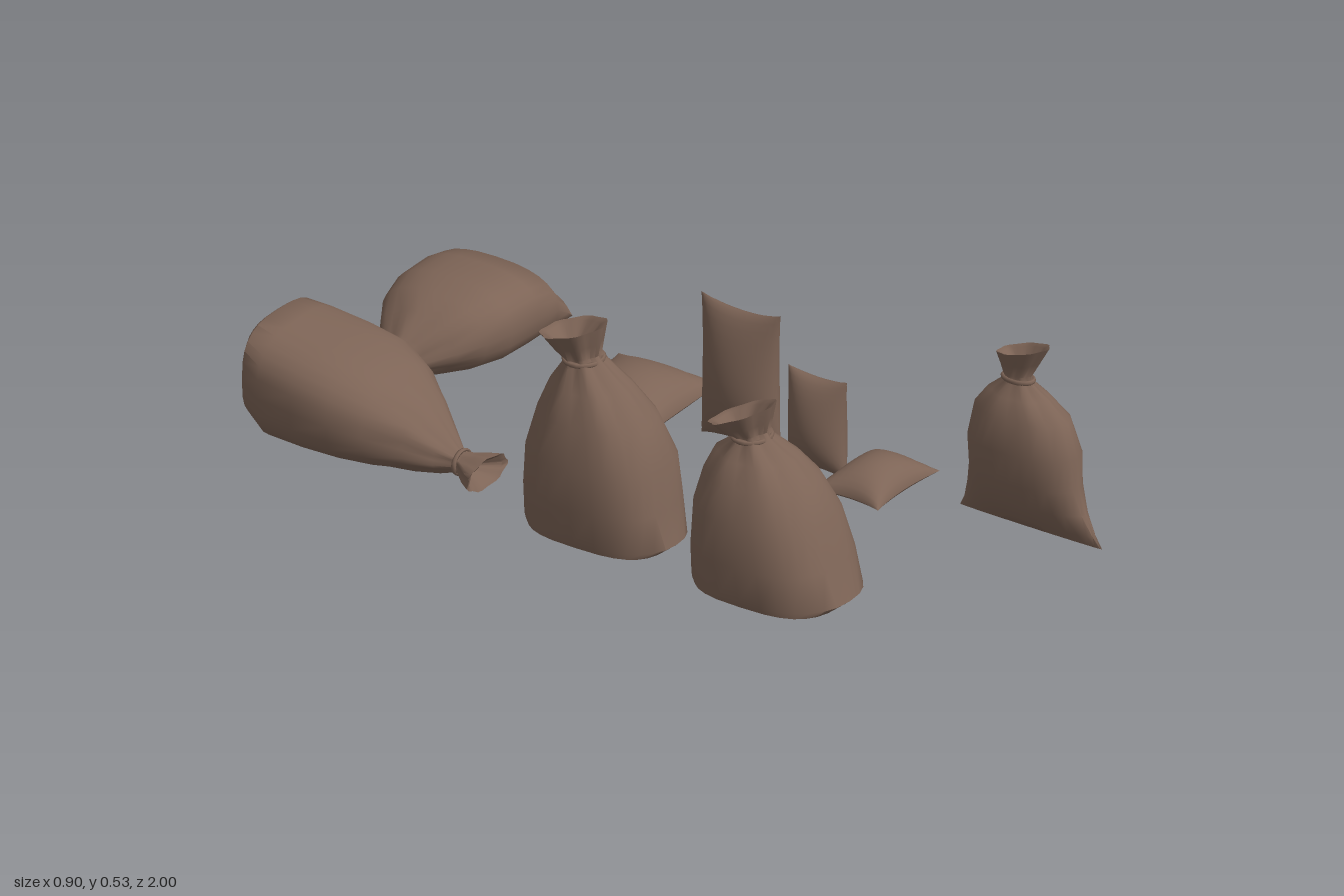
import * as THREE from 'three';
import { toCreasedNormals } from 'three/addons/utils/BufferGeometryUtils.js';

const burlap = new THREE.MeshStandardMaterial({ color: 0x7d6456 });
burlap.name = 'brown burlap';

const SIDES = 28;

// Axis placements: u and w lie across the sack, t runs from its base to its mouth
const upright = { at: (u, t, w) => [u, t, w], flip: false };
const lyingToFront = { at: (u, t, w) => [u, Math.max(0, w), t], flip: true };
const lyingToRight = { at: (u, t, w) => [-t, Math.max(0, w), u], flip: true };

// Tied sack lofted through rings [t, centreU, centreW, radiusU, radiusW, squareness, tilt, pleat]
function sack(name, place, rings) {
  const first = rings[0], last = rings[rings.length - 1];
  const shrunk = (r, k, dt) => [r[0] - dt, r[1], r[2], r[3] * k, r[4] * k, r[5], r[6], r[7]];
  const all = [
    shrunk(first, 0, 0), ...rings,            // closed base
    shrunk(last, 0.8, 0.006), shrunk(last, 0.35, 0.045), shrunk(last, 0, 0.05), // hollow mouth
  ];
  const pos = [], index = [];
  for (const [t, cu, cw, ru, rw, n = 2, tilt = 0, pleat = 0] of all) {
    for (let j = 0; j < SIDES; j++) {
      const a = (j / SIDES) * Math.PI * 2, c = Math.cos(a), s = Math.sin(a);
      const k = 1 + pleat * Math.cos(7 * a + 1);
      const du = Math.sign(c) * Math.abs(c) ** (2 / n) * ru * k;
      const dw = Math.sign(s) * Math.abs(s) ** (2 / n) * rw * k;
      pos.push(...place.at(cu + du, t + tilt * dw, cw + dw));
    }
  }
  for (let i = 0; i < all.length - 1; i++) {
    for (let j = 0; j < SIDES; j++) {
      const a = i * SIDES + j, b = i * SIDES + ((j + 1) % SIDES), c = a + SIDES, d = b + SIDES;
      if (place.flip) index.push(a, b, c, b, d, c);
      else index.push(a, c, b, b, c, d);
    }
  }
  const geo = new THREE.BufferGeometry();
  geo.setAttribute('position', new THREE.Float32BufferAttribute(pos, 3));
  geo.setIndex(index);
  const mesh = new THREE.Mesh(toCreasedNormals(geo, 0.9), burlap);
  mesh.name = name;
  return mesh;
}

// Seamed pillow bag: two bulged sheets meeting at a seam with drawn-out corners
function pillow(name, hx, hz, up, down, { pinch = 0.09, sag = 0, curl = 0 } = {}) {
  const N = 14, pos = [], index = [];
  for (const side of [1, -1]) {
    const base = pos.length / 3;
    for (let i = 0; i <= N; i++) {
      for (let j = 0; j <= N; j++) {
        // sine spacing gathers rows near the seam
        const p = Math.sin((i / N - 0.5) * Math.PI), q = Math.sin((j / N - 0.5) * Math.PI);
        const x = p * hx * (1 - pinch * (1 - q * q));
        const z = q * hz * (1 - pinch * (1 - p * p));
        const bulge = (Math.max(0, 1 - p * p) * Math.max(0, 1 - q * q)) ** 0.55 * (1 + sag * q);
        pos.push(x, side * bulge * (side > 0 ? up : down) + curl * p * p * q * q, z);
      }
    }
    for (let i = 0; i < N; i++) {
      for (let j = 0; j < N; j++) {
        const a = base + i * (N + 1) + j, b = a + 1, c = a + N + 1, d = c + 1;
        if (side > 0) index.push(a, b, c, b, d, c);
        else index.push(a, c, b, b, c, d);
      }
    }
  }
  const geo = new THREE.BufferGeometry();
  geo.setAttribute('position', new THREE.Float32BufferAttribute(pos, 3));
  geo.setIndex(index);
  geo.computeVertexNormals();
  const mesh = new THREE.Mesh(geo, burlap);
  mesh.name = name;
  return mesh;
}

// Cord around a neck, facing along the given axis
function cord(name, x, y, z, rx, ry, axis) {
  const geo = new THREE.TorusGeometry(1, 0.14, 6, 20);
  geo.scale(rx, ry, 0.045);
  if (axis === 'y') geo.rotateX(Math.PI / 2);
  if (axis === 'x') geo.rotateY(Math.PI / 2);
  const mesh = new THREE.Mesh(geo, burlap);
  mesh.name = name;
  mesh.position.set(x, y, z);
  return mesh;
}

export function createModel() {
  const model = new THREE.Group();
  model.name = 'sacks';

  // Large upright sacks
  model.add(sack('frontUprightSack', upright, [
    [0, -0.295, 0.485, 0.148, 0.185, 3],
    [0.015, -0.295, 0.485, 0.155, 0.205, 2.4],
    [0.1, -0.295, 0.472, 0.155, 0.186, 2.7],
    [0.2, -0.295, 0.457, 0.145, 0.172, 2.4],
    [0.28, -0.297, 0.445, 0.116, 0.14, 2.1, 0, 0.02],
    [0.33, -0.3, 0.432, 0.083, 0.1, 2, 0, 0.06],
    [0.365, -0.305, 0.422, 0.05, 0.05, 2, 0.1, 0.1],
    [0.38, -0.306, 0.42, 0.046, 0.04, 2, 0.2, 0.1],
    [0.4, -0.312, 0.41, 0.06, 0.06, 2, 0.35, 0.07],
    [0.428, -0.315, 0.4, 0.073, 0.08, 2, 0.45, 0.05],
  ]));
  model.add(cord('frontUprightSackCord', -0.305, 0.372, 0.421, 0.049, 0.044, 'y'));

  model.add(sack('middleUprightSack', upright, [
    [0, -0.293, 0, 0.125, 0.18, 3],
    [0.015, -0.293, 0, 0.132, 0.2, 2.4],
    [0.1, -0.293, -0.008, 0.138, 0.185, 2.8],
    [0.2, -0.293, -0.012, 0.137, 0.178, 2.6],
    [0.3, -0.295, -0.02, 0.113, 0.145, 2.2, 0, 0.02],
    [0.37, -0.3, -0.035, 0.082, 0.098, 2, 0, 0.06],
    [0.42, -0.303, -0.052, 0.05, 0.05, 2, 0.1, 0.1],
    [0.438, -0.304, -0.057, 0.046, 0.04, 2, 0.15, 0.1],
    [0.465, -0.308, -0.068, 0.056, 0.06, 2, 0.25, 0.07],
    [0.502, -0.31, -0.08, 0.072, 0.08, 2, 0.28, 0.05],
  ]));
  model.add(cord('middleUprightSackCord', -0.303, 0.43, -0.055, 0.049, 0.044, 'y'));

  // Narrow upright sack with a flat seam along its base
  model.add(sack('narrowUprightSack', upright, [
    [0.003, 0.272, 0.8, 0.004, 0.2, 2],
    [0.03, 0.272, 0.797, 0.026, 0.185, 2],
    [0.08, 0.272, 0.79, 0.058, 0.165, 2],
    [0.14, 0.272, 0.785, 0.073, 0.15, 2.2],
    [0.22, 0.268, 0.785, 0.08, 0.148, 2.3],
    [0.3, 0.268, 0.78, 0.068, 0.125, 2.2, 0, 0.02],
    [0.345, 0.268, 0.77, 0.047, 0.08, 2, 0, 0.06],
    [0.372, 0.27, 0.765, 0.027, 0.042, 2, 0, 0.08],
    [0.39, 0.27, 0.765, 0.022, 0.036, 2, 0.1, 0.08],
    [0.42, 0.27, 0.772, 0.03, 0.05, 2, 0.2, 0.06],
    [0.458, 0.27, 0.78, 0.038, 0.07, 2, 0.28, 0.04],
  ]));
  model.add(cord('narrowUprightSackCord', 0.27, 0.38, 0.765, 0.026, 0.04, 'y'));

  // Lying sack with its mouth toward the front
  model.add(sack('backLyingSack', lyingToFront, [
    [-0.945, -0.273, 0.185, 0.125, 0.09, 3],
    [-0.935, -0.273, 0.16, 0.15, 0.122, 3],
    [-0.88, -0.27, 0.137, 0.174, 0.137, 2.8],
    [-0.78, -0.27, 0.13, 0.181, 0.13, 2.8],
    [-0.68, -0.27, 0.122, 0.18, 0.122, 2.6],
    [-0.6, -0.272, 0.105, 0.15, 0.107, 2.4],
    [-0.52, -0.275, 0.078, 0.098, 0.08, 2.1, 0, 0.04],
    [-0.46, -0.278, 0.053, 0.055, 0.047, 2, 0, 0.07],
    [-0.425, -0.28, 0.043, 0.028, 0.027, 2, 0, 0.08],
    [-0.405, -0.282, 0.04, 0.032, 0.026, 2, 0, 0.1],
    [-0.37, -0.285, 0.038, 0.06, 0.033, 2, 0, 0.08],
    [-0.338, -0.288, 0.038, 0.08, 0.036, 2, 0, 0.06],
  ]));
  model.add(cord('backLyingSackCord', -0.281, 0.042, -0.415, 0.033, 0.029, 'z'));

  // Lying sack with its mouth toward the right, flat seam on the far end
  model.add(sack('cornerLyingSack', lyingToRight, [
    [-0.448, -0.808, 0.055, 0.19, 0.006, 3],
    [-0.435, -0.806, 0.066, 0.185, 0.05, 2.6],
    [-0.4, -0.8, 0.086, 0.175, 0.088, 2.5],
    [-0.32, -0.795, 0.097, 0.172, 0.1, 2.6],
    [-0.22, -0.795, 0.098, 0.168, 0.1, 2.6],
    [-0.15, -0.798, 0.093, 0.148, 0.093, 2.4],
    [-0.09, -0.802, 0.082, 0.11, 0.074, 2.1, 0, 0.04],
    [-0.04, -0.808, 0.066, 0.065, 0.05, 2, 0, 0.07],
    [-0.005, -0.812, 0.056, 0.033, 0.032, 2, 0, 0.08],
    [0.012, -0.814, 0.053, 0.034, 0.034, 2, 0, 0.1],
    [0.045, -0.825, 0.05, 0.055, 0.045, 2, 0.2, 0.06],
    [0.074, -0.835, 0.05, 0.06, 0.048, 2, 0.2, 0.05],
  ]));
  model.add(cord('cornerLyingSackCord', -0.003, 0.055, -0.813, 0.035, 0.036, 'x'));

  // Pillow bags lying flat
  const large = pillow('largeLyingPillow', 0.168, 0.14, 0.077, 0.025, { curl: 0.01 });
  large.position.set(0.225, 0.025, -0.298);
  large.rotation.y = 0.04;
  const small = pillow('smallLyingPillow', 0.124, 0.093, 0.058, 0.022, { pinch: 0.13 });
  small.position.set(0.227, 0.022, 0.394);
  model.add(large, small);

  // Pillow bags standing on a short edge, fuller toward the base
  const tall = pillow('tallStandingPillow', 0.112, 0.182, 0.06, 0.06, { sag: 0.2 });
  tall.geometry.rotateX(Math.PI / 2).rotateY(Math.PI / 2);
  tall.position.set(0.229, 0.182, 0.012);
  const short = pillow('shortStandingPillow', 0.083, 0.125, 0.056, 0.056, { sag: 0.12 });
  short.geometry.rotateX(Math.PI / 2).rotateY(Math.PI / 2);
  short.position.set(0.226, 0.125, 0.23);
  model.add(tall, short);

  return model;
}
